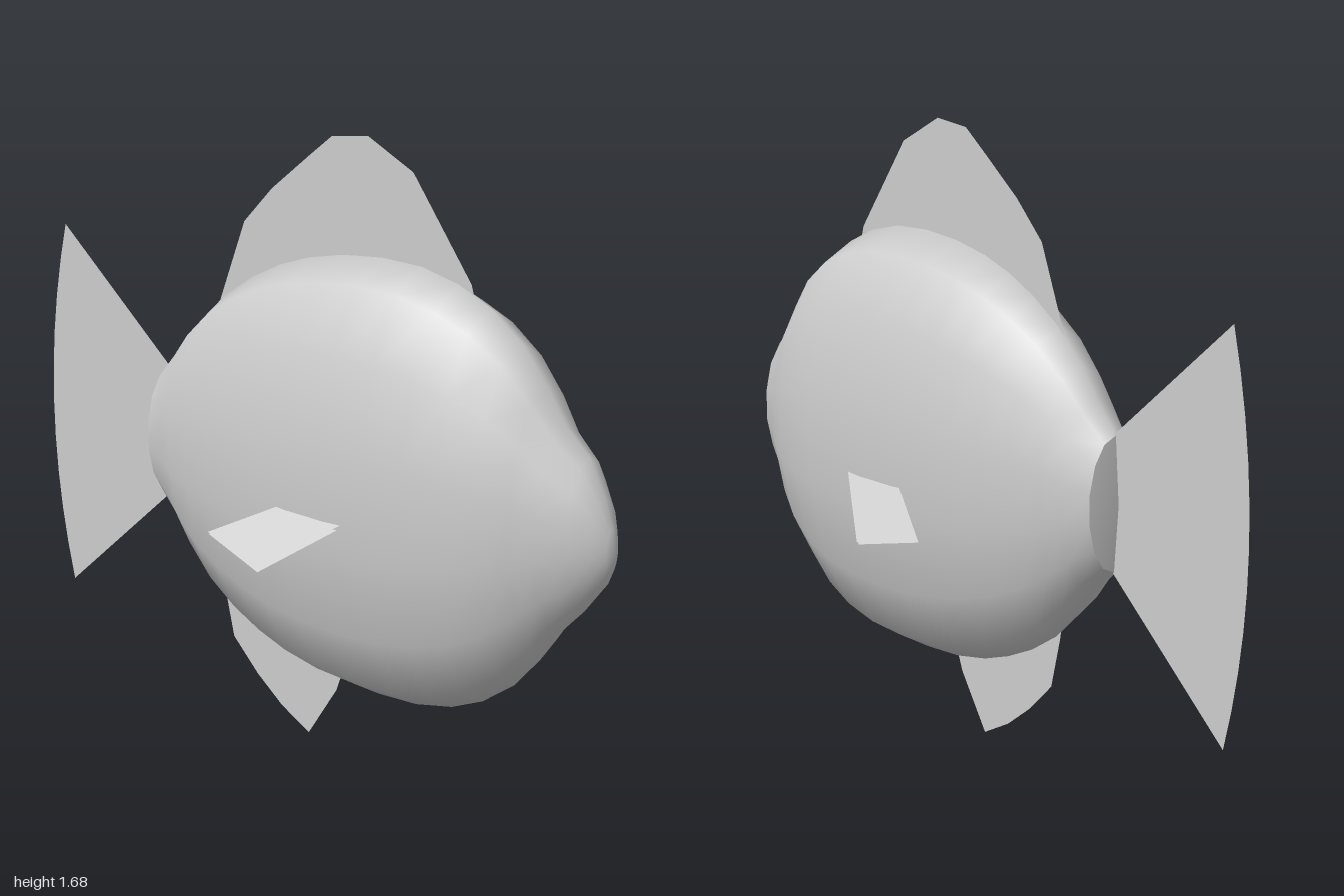
import * as THREE from 'three';

const SIDES = 14;

// body cross-sections: x, top y, bottom y, half width
const SECTIONS = [
  [-0.522, 0.955, 0.595, 0.085], [-0.45, 1.035, 0.525, 0.112], [-0.39, 1.11, 0.45, 0.137],
  [-0.3, 1.195, 0.362, 0.165], [-0.2, 1.258, 0.297, 0.189], [-0.1, 1.305, 0.25, 0.207],
  [0, 1.337, 0.215, 0.219], [0.12, 1.36, 0.19, 0.228], [0.25, 1.37, 0.18, 0.232],
  [0.38, 1.364, 0.184, 0.23], [0.5, 1.335, 0.208, 0.222], [0.6, 1.29, 0.25, 0.208],
  [0.7, 1.215, 0.32, 0.183], [0.78, 1.12, 0.41, 0.152], [0.84, 1.03, 0.498, 0.118],
  [0.91, 0.965, 0.57, 0.09], [0.96, 0.87, 0.635, 0.056], [0.985, 0.8, 0.685, 0.025],
];

function ring([x, top, bottom, half]) {
  const points = [];
  const rz = half / Math.cos(Math.PI / SIDES); // flats lie at the widest points
  for (let j = 0; j < SIDES; j++) {
    const a = (j / SIDES) * Math.PI * 2;
    points.push(x, (top + bottom) / 2 + ((top - bottom) / 2) * Math.cos(a), rz * Math.sin(a));
  }
  return points;
}

function build(positions, index) {
  const g = new THREE.BufferGeometry();
  g.setAttribute('position', new THREE.Float32BufferAttribute(positions, 3));
  g.setIndex(index);
  g.computeVertexNormals();
  return g;
}

// smooth loft through the sections, closed to a point at the snout
function bodyGeometry() {
  const positions = SECTIONS.flatMap(ring);
  const index = [];
  const last = SECTIONS.length - 1;
  const tip = SECTIONS.length * SIDES;
  positions.push(0.998, 0.735, 0);
  for (let i = 0; i <= last; i++) {
    for (let j = 0; j < SIDES; j++) {
      const k = (j + 1) % SIDES;
      const a = i * SIDES + j, c = i * SIDES + k;
      if (i === last) index.push(a, c, tip);
      else index.push(a, c, a + SIDES, c, c + SIDES, a + SIDES);
    }
  }
  return build(positions, index);
}

// shallow cap behind the body
function capGeometry() {
  const positions = ring(SECTIONS[0]);
  positions.push(-0.536, 0.775, 0);
  const index = [];
  for (let j = 0; j < SIDES; j++) index.push((j + 1) % SIDES, j, SIDES);
  return build(positions, index);
}

function finGeometry(points) {
  return new THREE.ShapeGeometry(new THREE.Shape(points.map(([x, y]) => new THREE.Vector2(x, y))));
}

export function createModel() {
  const group = new THREE.Group();
  const grey = new THREE.MeshStandardMaterial({ color: 0xcccccc });
  const finGrey = grey.clone();
  grey.name = 'bodyGrey';
  finGrey.name = 'finGrey';
  finGrey.side = THREE.DoubleSide;

  const add = (name, geometry, material) => {
    const mesh = new THREE.Mesh(geometry, material);
    mesh.name = name;
    group.add(mesh);
    return mesh;
  };

  add('body', bodyGeometry(), grey);
  add('tailBase', capGeometry(), grey);

  // flat fins on the centre plane
  const tail = [[-0.45, 0.9], [-0.52, 0.96]];
  for (let i = 0; i <= 10; i++) {
    const t = 1 - i / 5;
    tail.push([-1 + 0.07 * t * t, 0.775 + 0.535 * t]);
  }
  tail.push([-0.52, 0.59], [-0.45, 0.65]);
  add('tailFin', finGeometry(tail), finGrey);
  add('dorsalFin', finGeometry([
    [-0.36, 1.08], [-0.32, 1.18], [-0.23, 1.405], [-0.13, 1.505], [0, 1.605], [0.08, 1.665],
    [0.2, 1.677], [0.35, 1.6], [0.54, 1.34], [0.56, 1.27], [0.2, 1.2],
  ]), finGrey);
  add('bellyFin', finGeometry([
    [-0.33, 0.45], [-0.315, 0.36], [-0.28, 0.215], [-0.19, 0.125], [-0.1, 0.055], [0, 0],
    [0.1, 0.15], [0.15, 0.28],
  ]), finGrey);

  // swept side fins, each a thin pair of sheets
  for (const [name, s] of [['frontSideFin', 1], ['backSideFin', -1]]) {
    const positions = [];
    for (const d of [0, 0.008]) {
      for (const [x, y, z] of [[0.38, 0.77, 0.19], [0.17, 0.765, 0.19], [-0.09, 0.635, 0.3], [0.12, 0.587, 0.341]]) {
        positions.push(x, y - d, s * (z - d * 0.7));
      }
    }
    const index = [0, 1, 2, 0, 2, 3, 4, 6, 5, 4, 7, 6];
    if (s < 0) index.reverse();
    add(name, build(positions, index), finGrey);
  }
  return group;
}
